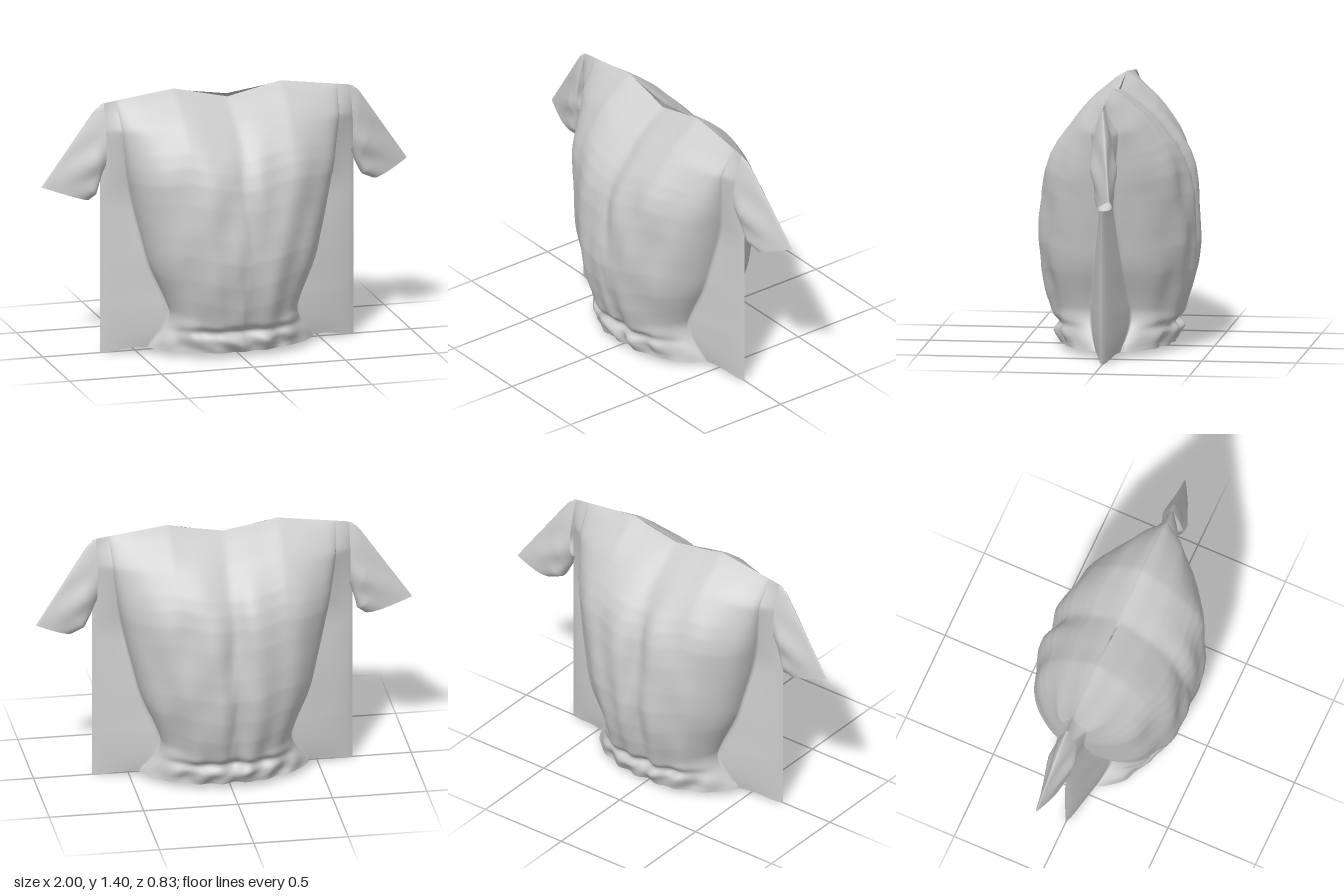
import * as THREE from 'three';

const SIDE = 0.69, HEM = 0.05;
const { lerp, smoothstep } = THREE.MathUtils;
const bell = (t, c, w) => Math.exp(-(((t - c) / w) ** 2));

// straight interpolation through [position, value] pairs
function line(pairs) {
  return (t) => {
    if (t <= pairs[0][0]) return pairs[0][1];
    for (let i = 1; i < pairs.length; i++) {
      const [a, va] = pairs[i - 1], [b, vb] = pairs[i];
      if (t <= b) return lerp(va, vb, (t - a) / (b - a));
    }
    return pairs[pairs.length - 1][1];
  };
}

// rounded interpolation: the straight one averaged over a small span
function soft(pairs, span) {
  const f = line(pairs);
  return (t) => {
    let sum = 0;
    for (let i = -4; i <= 4; i++) sum += f(t + span * i / 4);
    return sum / 9;
  };
}

// bulge depth by distance below the shoulder; bulge half width and wing thickness by height
const depth = line([[0, 0], [0.03, 0.06], [0.06, 0.1], [0.12, 0.18], [0.17, 0.23], [0.22, 0.273], [0.28, 0.32], [0.35, 0.358], [0.43, 0.385], [0.54, 0.405], [0.7, 0.418], [0.82, 0.42], [0.95, 0.405], [1.07, 0.38], [1.18, 0.345], [1.27, 0.335], [1.34, 0.3]]);
const width = soft([[0.03, 0.47], [0.1, 0.42], [0.2, 0.33], [0.3, 0.36], [0.5, 0.45], [0.8, 0.52], [1.0, 0.56], [1.2, 0.585], [1.4, 0.6]], 0.06);
const wing = soft([[0.02, 0.05], [0.1, 0.085], [0.22, 0.11], [0.4, 0.085], [0.85, 0.035], [1.1, 0.06], [1.25, 0.075], [1.4, 0.05]], 0.06);
const shoulders = {
  1: line([[0, 1.357], [0.29, 1.42], [0.66, 1.37], [0.69, 1.36]]),
  '-1': line([[0, 1.37], [0.2, 1.4], [0.29, 1.42], [0.66, 1.37], [0.69, 1.36]]),
};

// surface from a grid of points
function grid(cols, rows, point, flip) {
  const pos = [], index = [];
  for (let j = 0; j <= rows; j++)
    for (let i = 0; i <= cols; i++) pos.push(...point(i / cols, j / rows));
  for (let j = 0; j < rows; j++)
    for (let i = 0; i < cols; i++) {
      const a = j * (cols + 1) + i, b = a + 1, c = a + cols + 1, d = c + 1;
      if (flip) index.push(a, c, b, b, c, d);
      else index.push(a, b, c, b, d, c);
    }
  const g = new THREE.BufferGeometry();
  g.setAttribute('position', new THREE.Float32BufferAttribute(pos, 3));
  g.setIndex(index);
  g.computeVertexNormals();
  return g;
}

// point on the front (dir 1) or back (dir -1) panel
function panelPoint(u, v, dir) {
  const side = u * 2 - 1, a = Math.abs(side), sx = Math.sign(side);
  const w = width(lerp(HEM, 1.4, v));
  const inner = a < 0.75;
  const k = inner ? a / 0.75 : (a - 0.75) / 0.25;
  const ax = inner ? w * Math.sin(k * Math.PI / 2) : lerp(w, SIDE, k);
  const x = ax * sx;
  const top = shoulders[dir](ax);
  const hem = HEM - 0.03 * smoothstep(ax, 0.5, SIDE);
  const y = lerp(hem, top, v);
  const s = top - y;

  // full belly, softer towards the shoulders and at the hem
  const power = 0.9 + 0.35 * smoothstep(y, 0.95, 1.3) + 0.4 * (1 - smoothstep(y, 0.05, 0.2));
  const round = inner ? Math.pow(Math.cos(k * Math.PI / 2), power) : 0;
  const thick = wing(y) * Math.min(1, s / 0.15);
  const edge = inner ? 1 : Math.pow(1 - k, 0.75);
  let z = thick * edge + Math.max(0, depth(s) - thick) * round;

  // centre pinch, hanging folds and the crumpled tuck above the hem
  const mid = Math.min(1, s / 0.35) * round;
  z -= 0.028 * bell(x, 0.01 * dir, 0.06) * mid;
  z += 0.008 * Math.sin(x * 24 / (0.45 + 0.5 * y) + dir + Math.sin(y * 4)) * mid;
  z += 0.004 * Math.sin(y * 13 + ax * 20 + sx) * mid;
  z -= 0.03 * bell(y, 0.16, 0.025) * round;
  z += 0.01 * Math.sin(x * 37 + y * 30) * bell(y, 0.1, 0.06) * round;

  // narrow neck slit
  if (s < 0.02) z += 0.008 * Math.max(0, 1 - ax / 0.25);
  return [x, y, z * dir];
}

// fabric tucked under from the hem to the centre line
function tuckPoint(u, v, dir) {
  const [x, y, z] = panelPoint(u, 0, dir);
  const arch = dir > 0 ? 0.025 : 0.1;
  const open = Math.min(1, Math.abs(z) / 0.25);
  const wave = Math.sin(Math.PI * v);
  const lift = (arch + 0.008 * Math.sin(x * 25 + v * 8)) * wave * open;
  return [x, y + lift - 0.008 * v * open, z * (1 - v)];
}

// sleeve profile in front view, from armhole to cuff
const upperX = line([[0, 0.67], [0.1, 0.715], [1, 1.0]]);
const upperY = line([[0, 1.367], [0.1, 1.34], [1, 0.93]]);
const lowerX = line([[0, 0.67], [0.35, 0.7], [0.7, 0.735], [1, 0.8]]);
const lowerY = line([[0, 1.02], [0.35, 0.95], [0.7, 0.88], [1, 0.85]]);
const sleeveThick = line([[0, 0.08], [0.35, 0.09], [0.7, 0.075], [1, 0.05]]);

function sleevePoint(u, v, sx) {
  const th = u * Math.PI * 2, c = Math.cos(th), f = (c + 1) / 2;
  const cuffShift = sx > 0 ? 0 : 0.05 * v * v;
  const x = lerp(lowerX(v) - cuffShift, upperX(v), f);
  const y = lerp(lowerY(v), upperY(v), f);
  const crease = 1 + 0.15 * Math.sin(y * 34 + x * 21) * Math.sin(Math.PI * v);
  const lean = (sx > 0 ? -0.075 : -0.03) * v * (0.25 + 0.75 * f);
  const z = Math.sin(th) * (0.65 - 0.4 * c) * sleeveThick(v) * crease + lean;
  return [x * sx, y, z];
}

export function createModel() {
  const model = new THREE.Group();
  model.name = 'shirt';
  const fabric = new THREE.MeshStandardMaterial({ color: 0xcccccc, side: THREE.DoubleSide });
  fabric.name = 'light grey fabric';

  const add = (name, geometry) => {
    const mesh = new THREE.Mesh(geometry, fabric);
    mesh.name = name;
    model.add(mesh);
  };

  // body panels and their tucked hems
  for (const [label, dir] of [['front', 1], ['back', -1]]) {
    add(label + 'Panel', grid(128, 110, (u, v) => panelPoint(u, v, dir), dir < 0));
    add(label + 'Hem', grid(128, 14, (u, v) => tuckPoint(u, v, dir), dir > 0));
  }

  // sleeves, open at the cuff
  for (const [label, sx] of [['left', 1], ['right', -1]])
    add(label + 'Sleeve', grid(40, 24, (u, v) => sleevePoint(u, v, sx), sx < 0));

  return model;
}
